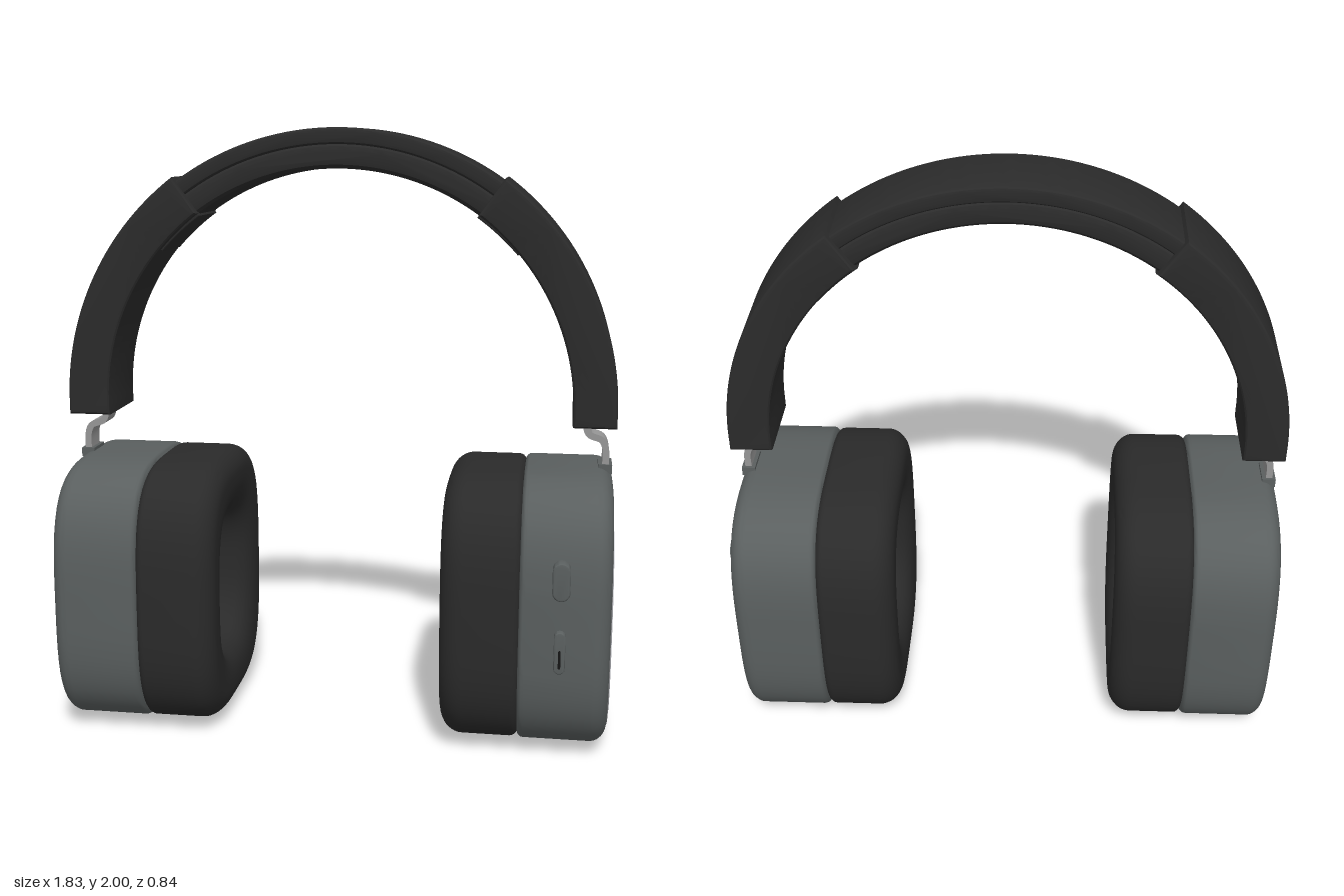
import * as THREE from 'three';
import { toCreasedNormals } from 'three/addons/utils/BufferGeometryUtils.js';

const mat = (name, color) => Object.assign(new THREE.MeshStandardMaterial({ color }), { name });
const CY = 0.455; // height of the ear cup centre
const ARC_Y = 1.085; // centre of the headband arc

function add(parent, name, geo, material, x = 0, y = 0, z = 0) {
  const m = new THREE.Mesh(geo, material);
  m.name = name;
  m.position.set(x, y, z);
  parent.add(m);
  return m;
}

// Skin over rounded-square sections [x, halfHeight, halfDepth, squareness]
function loft(sections, cy) {
  const N = 80, pos = [], idx = [];
  for (const [x, hy, hz, n] of sections) {
    for (let j = 0; j < N; j++) {
      const a = (j / N) * Math.PI * 2, c = Math.cos(a), s = Math.sin(a);
      const r = Math.pow(Math.abs(c) ** n + Math.abs(s) ** n, -1 / n);
      pos.push(x, cy + hy * r * s, hz * r * c);
    }
  }
  for (let i = 0; i < sections.length - 1; i++) {
    for (let j = 0; j < N; j++) {
      const k = (j + 1) % N, a = i * N + j, b = i * N + k;
      idx.push(a, a + N, b, b, a + N, b + N);
    }
  }
  const g = new THREE.BufferGeometry();
  g.setAttribute('position', new THREE.Float32BufferAttribute(pos, 3));
  g.setIndex(idx);
  g.computeVertexNormals();
  return toCreasedNormals(g, 0.6);
}

// Quarter-round run of sections; the centre of the round is (x, inset)
function round(x, inset, r, a0, a1, hy, hz, n, steps = 8) {
  return Array.from({ length: steps + 1 }, (_, i) => {
    const a = a0 + (a1 - a0) * (i / steps);
    const d = inset - r * Math.sin(a);
    return [x + r * Math.cos(a), hy - d, hz - d, n];
  });
}

// Extrusion centred on z with softened edges
function slab(shape, width, bevel) {
  const g = new THREE.ExtrudeGeometry(shape, {
    depth: width - 2 * bevel, bevelEnabled: bevel > 0, bevelSize: bevel, bevelThickness: bevel,
    bevelOffset: -bevel, bevelSegments: 3, curveSegments: 12,
  });
  g.translate(0, 0, -width / 2 + bevel);
  return toCreasedNormals(g, 0.5);
}

// Curved strip between two angles; radii run from the first to the second value
function arcShape(deg0, deg1, inner, outer, footY) {
  const N = 40, out = [], inn = [];
  for (let i = 0; i <= N; i++) {
    const t = i / N, a = THREE.MathUtils.degToRad(deg0 + (deg1 - deg0) * t);
    const at = ([p, q]) => {
      const r = p + (q - p) * t;
      return new THREE.Vector2(r * Math.cos(a), ARC_Y + r * Math.sin(a));
    };
    out.push(at(outer));
    inn.push(at(inner));
  }
  if (footY !== undefined) {
    out.unshift(new THREE.Vector2(outer[0], footY));
    inn.unshift(new THREE.Vector2(inner[0], footY));
  }
  return new THREE.Shape([...out, ...inn.reverse()]);
}

function pill(w, h) {
  const r = w / 2, k = h / 2 - r, s = new THREE.Shape();
  s.absarc(0, k, r, 0, Math.PI);
  s.absarc(0, -k, r, Math.PI, Math.PI * 2);
  s.closePath();
  return s;
}

// Flat bent strip joining band and cup
function stemShape() {
  const curve = new THREE.CatmullRomCurve3(
    [[0.818, 1.08], [0.818, 1.035], [0.828, 1.012], [0.868, 0.995], [0.881, 0.97], [0.882, 0.88]]
      .map(([x, y]) => new THREE.Vector3(x, y, 0)));
  const a = [], b = [];
  for (let i = 0; i <= 30; i++) {
    const p = curve.getPoint(i / 30), t = curve.getTangent(i / 30);
    a.push(new THREE.Vector2(p.x - t.y * 0.011, p.y + t.x * 0.011));
    b.push(new THREE.Vector2(p.x + t.y * 0.011, p.y - t.x * 0.011));
  }
  return new THREE.Shape([...a, ...b.reverse()]);
}

export function createModel() {
  const shell = mat('cup grey', 0x5a5f5f);
  const dark = mat('band black', 0x2b2b2b);
  const pad = mat('cushion black', 0x2a2a2a);
  const metal = mat('stem metal', 0x969696);
  const trim = mat('rim grey', 0x868688);
  const plate = mat('plate silver', 0xb6b8be);
  const slot = mat('slot black', 0x141414);
  const H = Math.PI / 2, PI = Math.PI;

  const model = new THREE.Group();
  model.name = 'headphones';
  const body = new THREE.Group();
  body.name = 'body';
  body.position.z = -0.012;
  model.add(body);

  // Middle of the headband: outer shell over a padded liner
  add(body, 'bandShell', slab(arcShape(50, 130, [0.862, 0.862], [0.915, 0.915]), 0.25, 0.012), dark);
  add(body, 'bandLiner', slab(arcShape(50, 130, [0.785, 0.785], [0.868, 0.868]), 0.24, 0.025), dark);

  // Each side is the same half, turned about the vertical axis
  for (const [name, turn] of [['left', 0], ['right', PI]]) {
    const side = new THREE.Group();
    side.name = name + 'Side';
    side.rotation.y = turn;
    body.add(side);

    // Headband sleeve and the short pad under its end
    add(side, 'sleeve', slab(arcShape(0, 54.5, [0.772, 0.787], [0.913, 0.93], 1.05), 0.29, 0.014), dark);
    add(side, 'sleevePad', slab(arcShape(41.4, 54.5, [0.777, 0.777], [0.82, 0.82]), 0.23, 0.006), dark);
    for (const z of [-0.056, 0.056])
      add(side, 'sleeveNotch', new THREE.BoxGeometry(0.006, 0.04, 0.01), slot, 0.912, 1.085, z);

    // Stem and its socket
    add(side, 'stem', slab(stemShape(), 0.086, 0), metal);
    add(side, 'stemSocket', new THREE.BoxGeometry(0.045, 0.03, 0.105), shell, 0.882, 0.9, 0);

    // Ear cup shell
    const hy = 0.45, hz = 0.408, n = 3.4;
    add(side, 'earCup', loft([
      [0.62, 0, 0, n], [0.62, hy - 0.03, hz - 0.03, n],
      ...round(0.64, 0.02, 0.02, PI, H, hy, hz, n, 4),
      ...round(0.853, 0.055, 0.055, H, 0, hy, hz, n, 10),
      [0.908, hy - 0.065, hz - 0.065, n], [0.908, 0, 0, n],
    ], CY), shell);

    // Ear cushion with its opening
    const ch = 0.448, cz = 0.405;
    add(side, 'earCushion', loft([
      [0.575, 0, 0, 2.5], [0.575, 0.2, 0.155, 2.5], [0.57, 0.235, 0.19, 2.5],
      [0.53, 0.242, 0.197, 2.5], [0.46, 0.243, 0.198, 2.5], [0.425, 0.25, 0.205, 2.5],
      [0.398, 0.265, 0.22, 2.6], [0.38, 0.288, 0.243, 2.7], [0.37, 0.315, 0.272, 2.9],
      [0.367, 0.345, 0.302, 3.1],
      ...round(0.442, 0.075, 0.075, PI, H, ch, cz, n, 10),
      ...round(0.597, 0.025, 0.025, H, 0, ch, cz, n, 5), [0.622, 0, 0, n],
    ], CY), pad);

    // Outer plate with a bevelled rim
    add(side, 'plateRim', loft([
      [0.89, 0.37, 0.324, 2.8], [0.905, 0.37, 0.324, 2.8], [0.912, 0.364, 0.318, 2.8],
      [0.912, 0, 0, 2.8],
    ], 0.4), trim);
    add(side, 'plate', loft([
      [0.908, 0.34, 0.294, 2.8], [0.915, 0.338, 0.292, 2.8], [0.915, 0, 0, 2.8],
    ], 0.4), plate);
  }

  // Controls on the left cup
  const controls = new THREE.Group();
  controls.name = 'controls';
  body.add(controls);
  add(controls, 'rockerButton', slab(pill(0.056, 0.125), 0.06, 0.008), shell, 0.75, 0.623, 0.405);
  add(controls, 'slideButton', slab(pill(0.036, 0.138), 0.06, 0.006), shell, 0.75, 0.392, 0.4);
  add(controls, 'slideMark', slab(pill(0.008, 0.06), 0.004, 0), slot, 0.75, 0.372, 0.43);

  // Round button on the outer face
  const button = add(controls, 'roundButton', new THREE.CylinderGeometry(0.034, 0.034, 0.06, 32), shell, 0.885, 0.731, -0.265);
  button.rotation.z = -H;
  const rim = add(controls, 'roundButtonRim', new THREE.TorusGeometry(0.039, 0.005, 8, 32), slot, 0.905, 0.731, -0.265);
  rim.rotation.y = H;

  // Charging port under the cup
  const port = add(controls, 'chargingPort', slab(pill(0.034, 0.095), 0.006, 0), slot, 0.76, 0.005, 0);
  port.rotation.x = H;
  add(controls, 'chargingPortInset', slab(pill(0.02, 0.08), 0.004, 0), metal, 0.76, 0.003, 0).rotation.x = H;
  return model;
}
